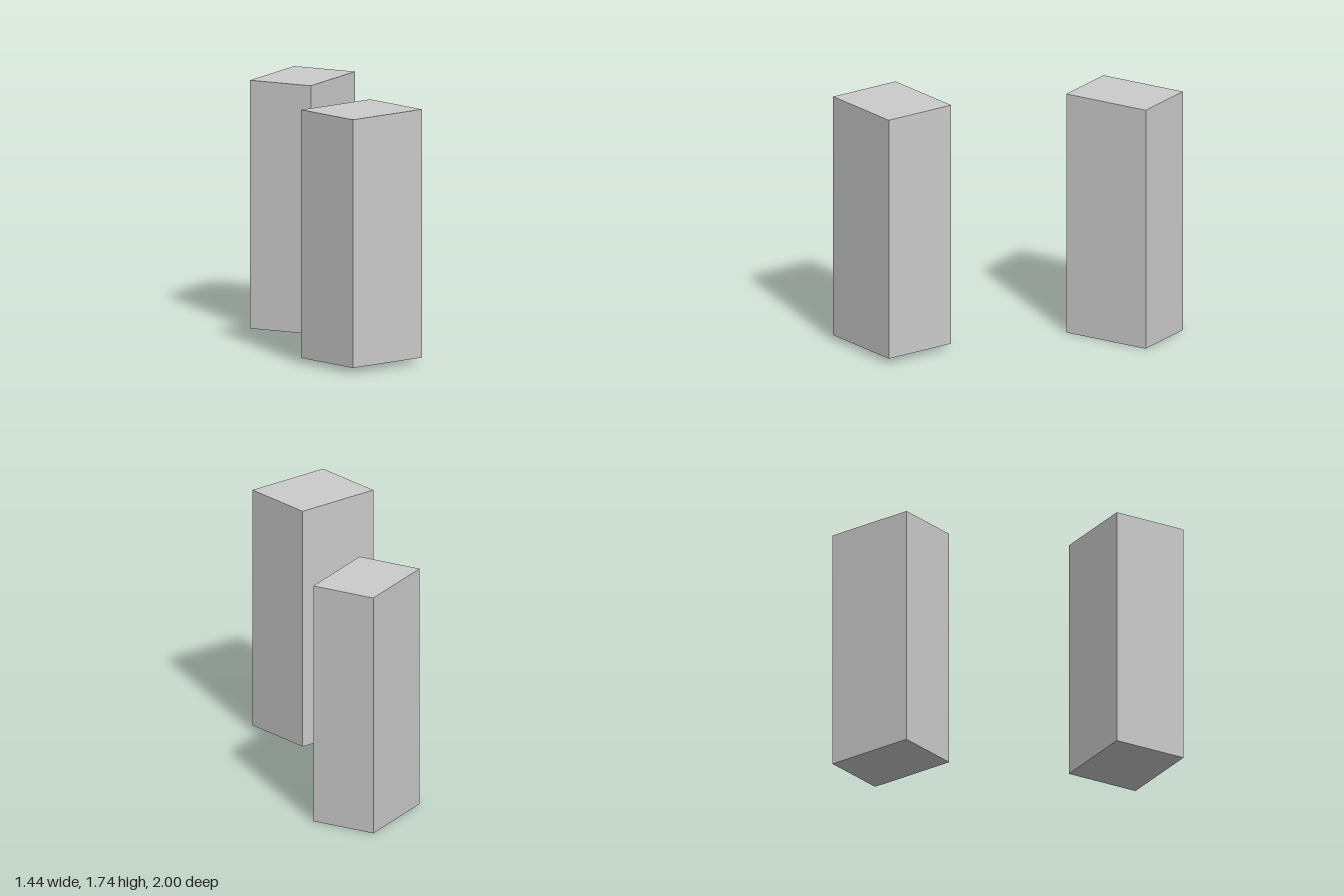
import * as THREE from 'three';

export function createModel() {
  const group = new THREE.Group();
  const material = new THREE.MeshStandardMaterial({ color: 0xcccccc, flatShading: true });

  // Upright rectangular block, turned about its vertical axis
  function addBlock(name, width, height, depth, x, bottom, z, turn) {
    const block = new THREE.Mesh(new THREE.BoxGeometry(width, height, depth), material);
    block.name = name;
    block.position.set(x, bottom + height / 2, z);
    block.rotation.y = turn;
    group.add(block);
  }

  // Front block sits slightly higher and is almost square to the axes
  addBlock('frontBlock', 0.623, 1.7, 0.527, -0.406, 0.037, 0.73, -0.018);
  // Back block stands on the ground, turned by about 20 degrees
  addBlock('backBlock', 0.636, 1.7, 0.465, 0.342, 0, -0.676, 0.339);

  return group;
}
